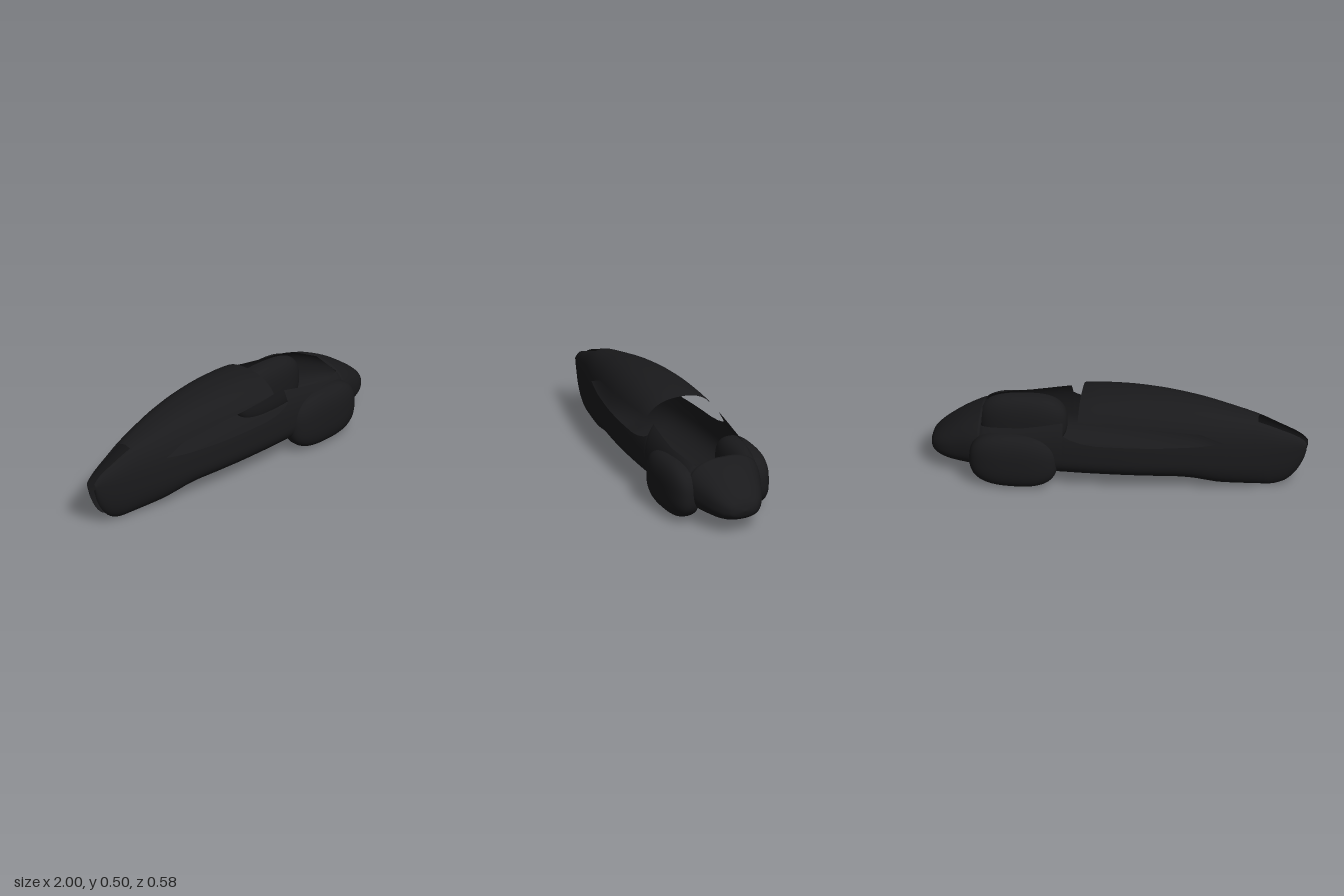
import * as THREE from 'three';
import { mergeVertices } from 'three/addons/utils/BufferGeometryUtils.js';

const P = 2.5; // squareness of the hull sections

// Straight interpolation through [x, value] pairs
const linear = (pts) => (x) => {
  let i = 0;
  while (i < pts.length - 2 && x > pts[i + 1][0]) i++;
  const [x0, a] = pts[i], [x1, b] = pts[i + 1];
  return a + (b - a) * THREE.MathUtils.clamp((x - x0) / (x1 - x0), 0, 1);
};

// Smooth interpolation: cubic through the pairs, flat at local extremes
const smooth = (pts) => {
  const d = pts.slice(1).map((p, i) => (p[1] - pts[i][1]) / (p[0] - pts[i][0]));
  const m = pts.map((_, i) => {
    if (i === 0) return d[0];
    if (i === d.length) return d[i - 1];
    return d[i - 1] * d[i] <= 0 ? 0 : (2 * d[i - 1] * d[i]) / (d[i - 1] + d[i]);
  });
  return (x) => {
    let i = 0;
    while (i < pts.length - 2 && x > pts[i + 1][0]) i++;
    const h = pts[i + 1][0] - pts[i][0], t = THREE.MathUtils.clamp((x - pts[i][0]) / h, 0, 1);
    const t2 = t * t, t3 = t2 * t;
    return pts[i][1] * (2 * t3 - 3 * t2 + 1) + pts[i + 1][1] * (3 * t2 - 2 * t3)
      + h * (m[i] * (t3 - 2 * t2 + t) + m[i + 1] * (t3 - t2));
  };
};

// Outline of the shell along its length: half width, roof, belly, widest height
const width = smooth([[-1, 0.032], [-0.9, 0.065], [-0.8, 0.092], [-0.6, 0.145], [-0.4, 0.187], [-0.2, 0.217],
  [0, 0.235], [0.2, 0.242], [0.3, 0.242], [0.5, 0.236], [0.65, 0.226], [0.75, 0.203], [0.85, 0.166],
  [0.9, 0.145], [0.95, 0.115], [0.98, 0.085], [0.995, 0.05], [1, 0]]);
const roof = smooth([[-1, 0.27], [-0.98, 0.295], [-0.95, 0.315], [-0.85, 0.357], [-0.74, 0.4], [-0.6, 0.435],
  [-0.4, 0.477], [-0.2, 0.5], [-0.06, 0.505], [0.1, 0.499], [0.2, 0.487], [0.28, 0.47], [0.5, 0.42],
  [0.65, 0.383], [0.73, 0.35], [0.83, 0.303], [0.92, 0.243], [0.97, 0.2], [0.99, 0.173], [1, 0.14]]);
const belly = smooth([[-1, 0.23], [-0.985, 0.17], [-0.96, 0.115], [-0.92, 0.06], [-0.87, 0.022], [-0.8, 0.003],
  [-0.7, 0.006], [-0.55, 0.014], [-0.47, 0.03], [-0.4, 0.046], [-0.3, 0.055], [0.3, 0.055], [0.75, 0.05],
  [0.85, 0.055], [0.93, 0.068], [0.97, 0.085], [0.99, 0.105], [1, 0.135]]);
const middle = smooth([[-1, 0.25], [-0.9, 0.22], [-0.75, 0.2], [0.7, 0.2], [0.9, 0.155], [1, 0.138]]);

// Upper edge of the lower hull, lower edge of the canopy
const sill = linear([[-1, 0.25], [-0.574, 0.305], [-0.45, 0.293], [-0.2, 0.287], [0.1, 0.29], [0.18, 0.3],
  [0.25, 0.32], [0.275, 0.335], [0.28, 0.395], [0.4, 0.368], [0.5, 0.348], [0.6, 0.338], [0.7, 0.325],
  [0.72, 0.322], [0.73, 0.36], [0.74, 0.6], [1, 0.6]]);
const canopyEdge = linear([[-1, 0.25], [-0.574, 0.305], [-0.45, 0.36], [-0.2, 0.388], [0.05, 0.4], [0.2, 0.405]]);

// Half width of the slot in the tail, below and above
const slotBelow = linear([[-1, 0.021], [-0.82, 0.031], [-0.8, 0.026], [-0.79, 0.012], [-0.785, 0]]);
const slotAbove = linear([[-1, 0.021], [-0.83, 0.032], [-0.745, 0.04], [-0.74, 0]]);

// Section angle at a given height, and at a given distance from the centre plane
const angleAt = (x, y) => {
  const m = middle(x), half = y > m ? roof(x) - m : m - belly(x);
  const t = Math.min(1, Math.abs(y - m) / Math.max(half, 1e-5));
  return Math.sign(y - m) * Math.asin(Math.pow(t, P / 2));
};
const angleOff = (x, z) => Math.acos(Math.pow(Math.min(1, z / Math.max(width(x), 1e-5)), P / 2));

const surfacePoint = (x, a, side) => {
  const m = middle(x), s = Math.sin(a), c = Math.max(0, Math.cos(a));
  const half = s > 0 ? roof(x) - m : m - belly(x);
  const z = width(x) * Math.pow(c, 2 / P);
  return [x, m + Math.sign(s) * half * Math.pow(Math.abs(s), 2 / P), side * (z < 1e-5 ? 0 : z)];
};

// Mirrored sheet of the shell between two section angles
function shellPanel(xs, from, to, rows) {
  const pos = [], index = [];
  for (const side of [1, -1]) {
    const base = pos.length / 3;
    xs.forEach((x, i) => {
      const a0 = from(x), a1 = Math.max(a0, to(x));
      for (let j = 0; j <= rows; j++) {
        pos.push(...surfacePoint(x, a0 + ((a1 - a0) * j) / rows, side));
        if (i === xs.length - 1 || j === rows) continue;
        const a = base + i * (rows + 1) + j, b = a + rows + 1;
        if (side > 0) index.push(a, b, a + 1, b, b + 1, a + 1);
        else index.push(a, a + 1, b, b, a + 1, b + 1);
      }
    });
  }
  let geo = new THREE.BufferGeometry();
  geo.setAttribute('position', new THREE.Float32BufferAttribute(pos, 3));
  geo.setIndex(index);
  geo = mergeVertices(geo, 1e-5);
  geo.computeVertexNormals();
  return geo;
}

// Stations along the length, with extra ones at steps and tips
const stations = (x0, x1) => {
  const list = [-0.995, -0.985, -0.795, -0.79, -0.785, -0.745, -0.574, 0.275, 0.73, 0.985, 0.99, 0.995, 0.998];
  for (let i = -50; i <= 50; i++) list.push(i / 50);
  return [...new Set(list)].filter((x) => x >= x0 && x <= x1).sort((a, b) => a - b);
};

// Rounded wheel fairing: a sphere squared off by its power norm
function fairingGeometry() {
  let geo = new THREE.SphereGeometry(1, 48, 32);
  const p = geo.attributes.position, k = 2.7;
  for (let i = 0; i < p.count; i++) {
    const v = new THREE.Vector3().fromBufferAttribute(p, i);
    const n = Math.pow(Math.abs(v.x) ** k + Math.abs(v.y) ** k + Math.abs(v.z) ** k, 1 / k);
    p.setXYZ(i, (v.x / n) * 0.235, (v.y / n) * 0.155, (v.z / n) * 0.09);
  }
  geo.deleteAttribute('uv');
  geo.deleteAttribute('normal');
  geo = mergeVertices(geo, 1e-5);
  geo.computeVertexNormals();
  return geo;
}

export function createModel() {
  const group = new THREE.Group();
  const paint = new THREE.MeshStandardMaterial({ color: 0x1a1a1c, side: THREE.DoubleSide });
  const add = (name, geo) => {
    const mesh = new THREE.Mesh(geo, paint);
    mesh.name = name;
    group.add(mesh);
    return mesh;
  };

  // Lower hull with the nose, open at the cockpit
  add('hull', shellPanel(stations(-1, 1),
    (x) => -angleOff(x, slotBelow(x)), (x) => angleAt(x, sill(x)), 40));

  // Canopy running back into the split tail
  add('canopy', shellPanel(stations(-1, 0.2),
    (x) => angleAt(x, canopyEdge(x)), (x) => angleOff(x, slotAbove(x)), 24));

  // Front wheel fairings
  const fairing = fairingGeometry();
  for (const side of [1, -1]) {
    add(side > 0 ? 'wheelFairingNear' : 'wheelFairingFar', fairing).position.set(0.54, 0.163, side * 0.202);
  }
  return group;
}
